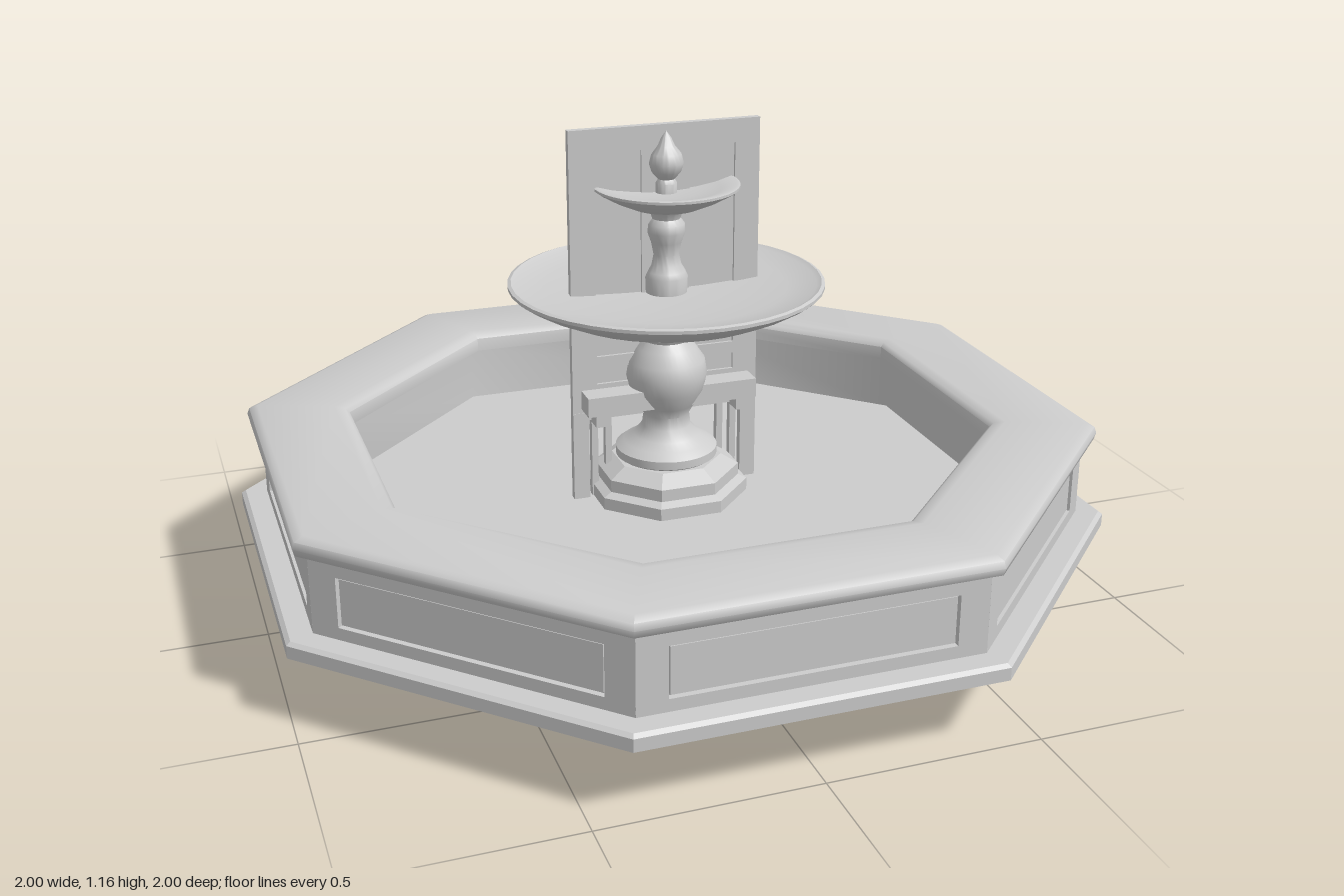
import * as THREE from 'three';
import { toCreasedNormals } from 'three/addons/utils/BufferGeometryUtils.js';

export function createModel() {
  const root = new THREE.Group();
  root.name = 'fountain';
  const stone = new THREE.MeshStandardMaterial({ color: 0xcccccc });
  stone.name = 'stone grey';

  const add = (name, geo, x = 0, y = 0, z = 0, parent = root) => {
    const m = new THREE.Mesh(geo, stone);
    m.name = name;
    m.position.set(x, y, z);
    parent.add(m);
    return m;
  };
  // box given by its limits on each axis
  const box = (name, x0, x1, y0, y1, z0, z1) =>
    add(name, new THREE.BoxGeometry(x1 - x0, y1 - y0, z1 - z0), (x0 + x1) / 2, (y0 + y1) / 2, (z0 + z1) / 2);
  const vec = (pts) => pts.map(([x, y]) => new THREE.Vector2(x, y));
  // eight-sided solid from [apothem, height] pairs
  const octagon = (name, pts, crease = 0.3) => {
    const k = 1 / Math.cos(Math.PI / 8);
    const g = new THREE.LatheGeometry(vec(pts.map(([r, y]) => [r * k, y])), 8);
    g.rotateY(Math.PI / 8);
    return add(name, toCreasedNormals(g, crease));
  };
  // round turned part
  const turned = (name, pts) =>
    add(name, toCreasedNormals(new THREE.LatheGeometry(vec(pts), 40), 0.7));
  const rect = (P, x0, x1, y0, y1) => {
    const p = new P();
    p.moveTo(x0, y0);
    p.lineTo(x1, y0);
    p.lineTo(x1, y1);
    p.lineTo(x0, y1);
    p.closePath();
    return p;
  };

  // Basin
  octagon('plinth', [[0, 0.16], [1, 0.16], [1, 0.19], [0.99, 0.197], [0.9, 0.197]]);
  octagon('basinWall', [[0.925, 0.19], [0.925, 0.385], [0.76, 0.385], [0.76, 0.23]], 0.85);
  octagon('basinFloor', [[0.77, 0.235], [0, 0.235]]);
  octagon('rim', [
    [0.73, 0.382], [0.95, 0.382], [0.965, 0.39], [0.97, 0.407], [0.965, 0.422], [0.945, 0.431],
    [0.765, 0.431], [0.74, 0.427], [0.73, 0.417], [0.73, 0.382],
  ], 0.85);

  // Framed panels on the eight outer faces
  for (let i = 0; i < 8; i++) {
    const side = new THREE.Group();
    side.name = 'wallSide';
    side.rotation.y = i * Math.PI / 4;
    root.add(side);
    const frame = rect(THREE.Shape, -0.389, 0.389, 0.195, 0.384);
    frame.holes.push(rect(THREE.Path, -0.32, 0.32, 0.226, 0.345));
    add('panelFrame', new THREE.ExtrudeGeometry(frame, { depth: 0.02, bevelEnabled: false }), 0, 0, 0.919, side);
    add('panel', new THREE.BoxGeometry(0.63, 0.109, 0.008), 0, 0.2855, 0.929, side);
  }

  // Pedestal and turned column
  octagon('pedestal', [
    [0, 0.23], [0.185, 0.23], [0.185, 0.265], [0.165, 0.275], [0.165, 0.305], [0.125, 0.33], [0, 0.33],
  ]);
  turned('lowerColumn', [
    [0.11, 0.325], [0.125, 0.335], [0.125, 0.355], [0.105, 0.37], [0.08, 0.385], [0.06, 0.41], [0.056, 0.44],
    [0.07, 0.465], [0.092, 0.505], [0.1, 0.545], [0.094, 0.58], [0.072, 0.612], [0.058, 0.632],
    [0.062, 0.64], [0.078, 0.645], [0.078, 0.66], [0.06, 0.67], [0, 0.67],
  ]);
  turned('lowerBowl', [
    [0, 0.662], [0.09, 0.664], [0.15, 0.677], [0.21, 0.693], [0.28, 0.718], [0.34, 0.746], [0.37, 0.764],
    [0.38, 0.772], [0.38, 0.78], [0.372, 0.783], [0.36, 0.777], [0.29, 0.766], [0.2, 0.757], [0.1, 0.752], [0, 0.75],
  ]);
  turned('upperColumn', [
    [0.05, 0.74], [0.052, 0.79], [0.046, 0.803], [0.036, 0.82], [0.031, 0.845], [0.037, 0.875], [0.046, 0.9],
    [0.044, 0.92], [0.034, 0.933], [0.038, 0.945], [0.045, 0.955], [0, 0.96],
  ]);
  turned('upperBowl', [
    [0, 0.95], [0.04, 0.952], [0.085, 0.963], [0.13, 0.983], [0.165, 1.003], [0.175, 1.01],
    [0.175, 1.016], [0.168, 1.018], [0.13, 1.007], [0.08, 0.999], [0, 0.994],
  ]);
  turned('finial', [
    [0.026, 0.985], [0.026, 1.018], [0.02, 1.028], [0.035, 1.045], [0.042, 1.066], [0.036, 1.088],
    [0.02, 1.108], [0.012, 1.126], [0, 1.142],
  ]);

  // Upright panelled board through the column
  const z = -0.013;
  box('boardCore', -0.23, 0.23, 0.45, 1.15, z - 0.002, z + 0.002);
  const board = rect(THREE.Shape, -0.237, 0.237, 0.44, 1.157);
  for (const [a, b] of [[-0.175, -0.06], [0.06, 0.175]]) {
    board.holes.push(rect(THREE.Path, a, b, 0.6, 1.1), rect(THREE.Path, a, b, 0.53, 0.57));
  }
  add('boardFrame', new THREE.ExtrudeGeometry(board, { depth: 0.018, bevelEnabled: false }), 0, 0, z - 0.009);

  // Seat rail, posts and slats below the board
  box('seatRail', -0.215, 0.215, 0.47, 0.518, -0.05, 0.055);
  box('rearFin', -0.02, 0.02, 0.44, 0.59, -0.1, -0.05);
  for (const s of [-1, 1]) {
    const at = (name, x, w, y0, y1, z0, z1) => box(name, s * x - w / 2, s * x + w / 2, y0, y1, z0, z1);
    at('boardPost', 0.217, 0.04, 0.23, 0.46, z - 0.01, z + 0.01);
    at('slat', 0.145, 0.016, 0.23, 0.48, -0.03, -0.012);
    at('slat', 0.18, 0.016, 0.23, 0.48, -0.03, -0.012);
    at('railFoot', 0.18, 0.022, 0.435, 0.475, -0.04, 0.04);
    // Underside parts
    at('hook', 0.2, 0.03, 0.075, 0.15, -0.008, 0.025);
    at('runner', 0.2, 0.008, 0.155, 0.163, 0.2, 0.38);
    at('runner', 0.13, 0.008, 0.155, 0.163, 0.2, 0.36);
  }
  box('crossbar', -0.215, 0.215, 0.13, 0.152, -0.05, 0.025);
  box('crossbarMount', -0.19, 0.19, 0.148, 0.165, -0.045, 0.02);

  // Curved bracket under the basin
  const bracket = new THREE.Shape(vec([
    [0.435, 0.155], [0.43, 0.135], [0.4, 0.118], [0.16, 0.115], [0.11, 0.095], [0.06, 0.045],
    [0.025, 0.012], [-0.01, 0], [-0.01, 0.165], [0.4, 0.165],
  ]));
  const bracketGeo = new THREE.ExtrudeGeometry(bracket, { depth: 0.056, bevelEnabled: false });
  bracketGeo.translate(0, 0, -0.028);
  bracketGeo.rotateY(-Math.PI / 2);
  add('bracket', toCreasedNormals(bracketGeo, 0.8));

  return root;
}
